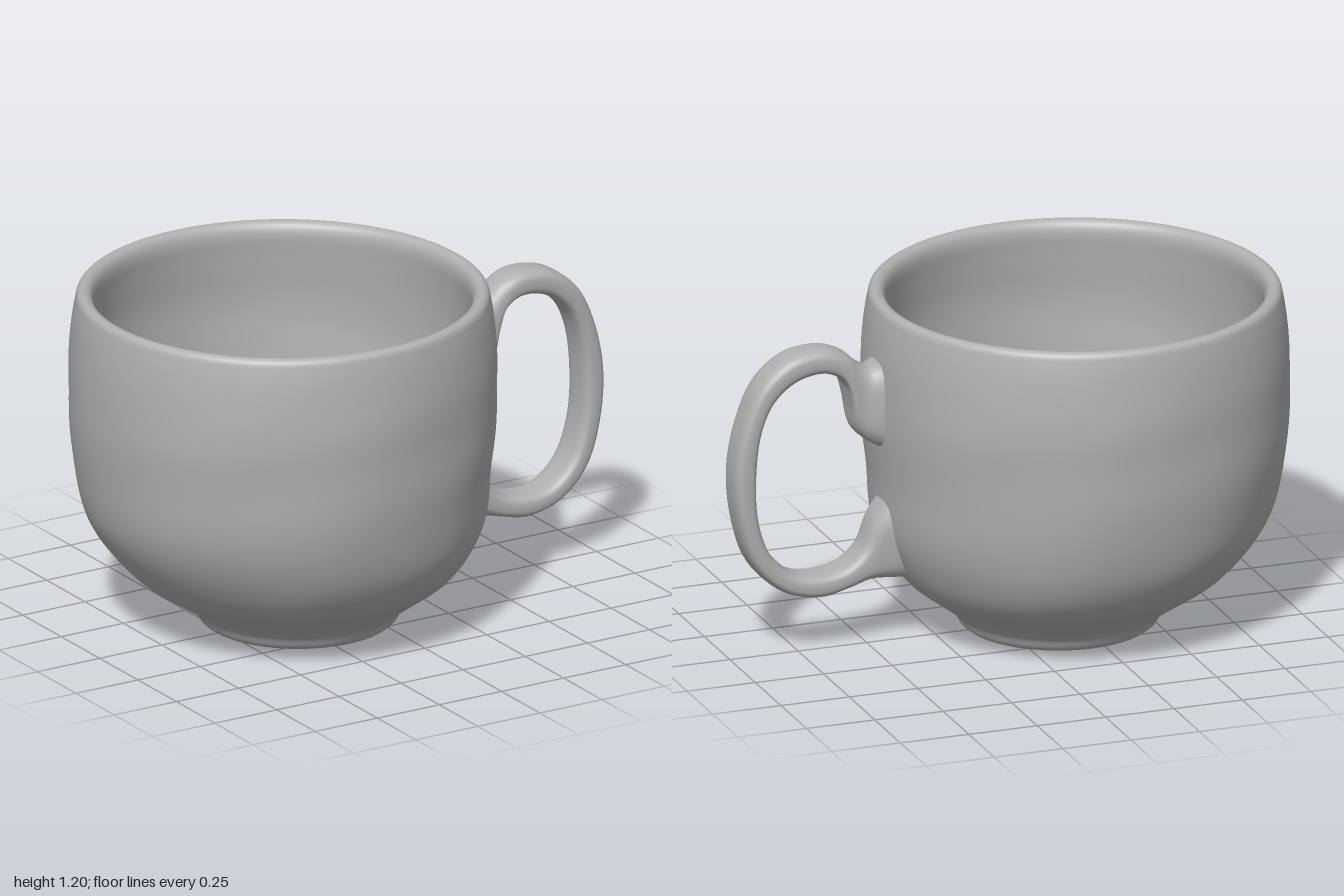
import * as THREE from 'three';

// Smooth skin over a list of closed rings, each with the same point count
function loft(rings) {
  const n = rings[0].length, index = [];
  for (let j = 0; j < rings.length - 1; j++) {
    for (let i = 0; i < n; i++) {
      const k = (i + 1) % n;
      const a = j * n + i, b = j * n + k, c = b + n, d = a + n;
      index.push(a, b, c, a, c, d);
    }
  }
  const g = new THREE.BufferGeometry();
  g.setAttribute('position', new THREE.Float32BufferAttribute(rings.flat(2), 3));
  g.setIndex(index);
  g.computeVertexNormals();
  return g;
}

// Even samples of a curve through [x, y] points
const spline = (pts, count) =>
  new THREE.CatmullRomCurve3(pts.map(([x, y]) => new THREE.Vector3(x, y, 0)), false, 'centripetal').getPoints(count);

const AROUND = 96;

// One level of the bowl; the foot sits slightly off the bowl's axis
function bowlRing(r, y) {
  const cx = -0.2 - 0.062 * THREE.MathUtils.smoothstep(y, 0, 0.6);
  const lumps = 0.004 * THREE.MathUtils.smoothstep(y, 0.05, 0.3) * (1 - THREE.MathUtils.smoothstep(y, 0.8, 1.1));
  return Array.from({ length: AROUND }, (_, i) => {
    const a = (i / AROUND) * Math.PI * 2;
    const rr = r + lumps * Math.sin(3 * a + 7 * y) * Math.cos(5 * a - 11 * y);
    return [cx + rr * Math.cos(a), y, -rr * Math.sin(a)];
  });
}

export function createModel() {
  const group = new THREE.Group();
  const clay = new THREE.MeshStandardMaterial({ color: 0xb0b0b0 });
  clay.name = 'grey clay';
  const add = (name, geometry) => {
    const mesh = new THREE.Mesh(geometry, clay);
    mesh.name = name;
    group.add(mesh);
  };

  // Bowl: outside wall, rounded rim, then the inside down to the floor
  const profile = spline([
    [0.328, 0], [0.342, 0.012], [0.365, 0.05], [0.45, 0.115], [0.565, 0.2], [0.645, 0.31],
    [0.69, 0.42], [0.72, 0.6], [0.735, 0.8], [0.736, 0.95], [0.726, 1.08], [0.714, 1.16],
    [0.704, 1.195], [0.685, 1.205], [0.662, 1.195], [0.65, 1.165], [0.655, 1.08],
    [0.665, 0.95], [0.663, 0.8], [0.645, 0.6], [0.61, 0.43], [0.55, 0.31],
    [0.45, 0.21], [0.3, 0.14], [0.15, 0.12], [0.0005, 0.115],
  ], 130);
  add('bowl', loft(profile.map((p) => bowlRing(p.x, p.y))));

  // Flat underside of the foot
  const underside = new THREE.CircleGeometry(0.328, AROUND);
  underside.rotateX(Math.PI / 2);
  underside.translate(-0.2, 0, 0);
  add('footUnderside', underside);

  // Handle: outer and inner edges in matching pairs, from upper to lower joint
  const pairs = [
    [0.43, 1.06, 0.43, 0.70], [0.495, 1.012, 0.51, 0.745], [0.54, 1.03, 0.555, 0.79],
    [0.585, 1.07, 0.57, 0.88], [0.64, 1.094, 0.592, 0.965], [0.7, 1.1, 0.66, 1.008],
    [0.8, 1.08, 0.765, 0.995], [0.9, 1.0, 0.85, 0.93], [0.962, 0.87, 0.897, 0.83],
    [1.0, 0.69, 0.917, 0.67], [0.985, 0.5, 0.908, 0.5], [0.93, 0.34, 0.86, 0.37],
    [0.82, 0.235, 0.78, 0.298], [0.69, 0.2, 0.68, 0.283], [0.58, 0.221, 0.59, 0.305],
    [0.5, 0.242, 0.53, 0.36], [0.42, 0.237, 0.49, 0.46], [0.34, 0.235, 0.44, 0.53],
  ];
  const STEPS = 102, SIDES = 28;
  const curve = (k) => new THREE.CatmullRomCurve3(
    pairs.map((p) => new THREE.Vector3(p[k], p[k + 1], 0)), false, 'centripetal');
  const outer = curve(0), inner = curve(2);
  const soft = (v) => Math.sign(v) * Math.pow(Math.abs(v), 0.65);
  const rings = [];
  for (let j = 0; j <= STEPS; j++) {
    const t = j / STEPS;
    const o = outer.getPoint(t), n = inner.getPoint(t);
    const mid = o.clone().add(n).multiplyScalar(0.5);
    const half = o.sub(n).multiplyScalar(0.5);
    // The strap widens where it meets the bowl
    const width = 0.072 + 0.03 * Math.pow(1 - THREE.MathUtils.smoothstep(Math.min(t, 1 - t), 0, 0.13), 2);
    rings.push(Array.from({ length: SIDES }, (_, i) => {
      const a = (i / SIDES) * Math.PI * 2, c = soft(Math.cos(a));
      return [mid.x + half.x * c, mid.y + half.y * c, width * soft(Math.sin(a))];
    }));
  }
  add('handle', loft(rings));

  return group;
}
